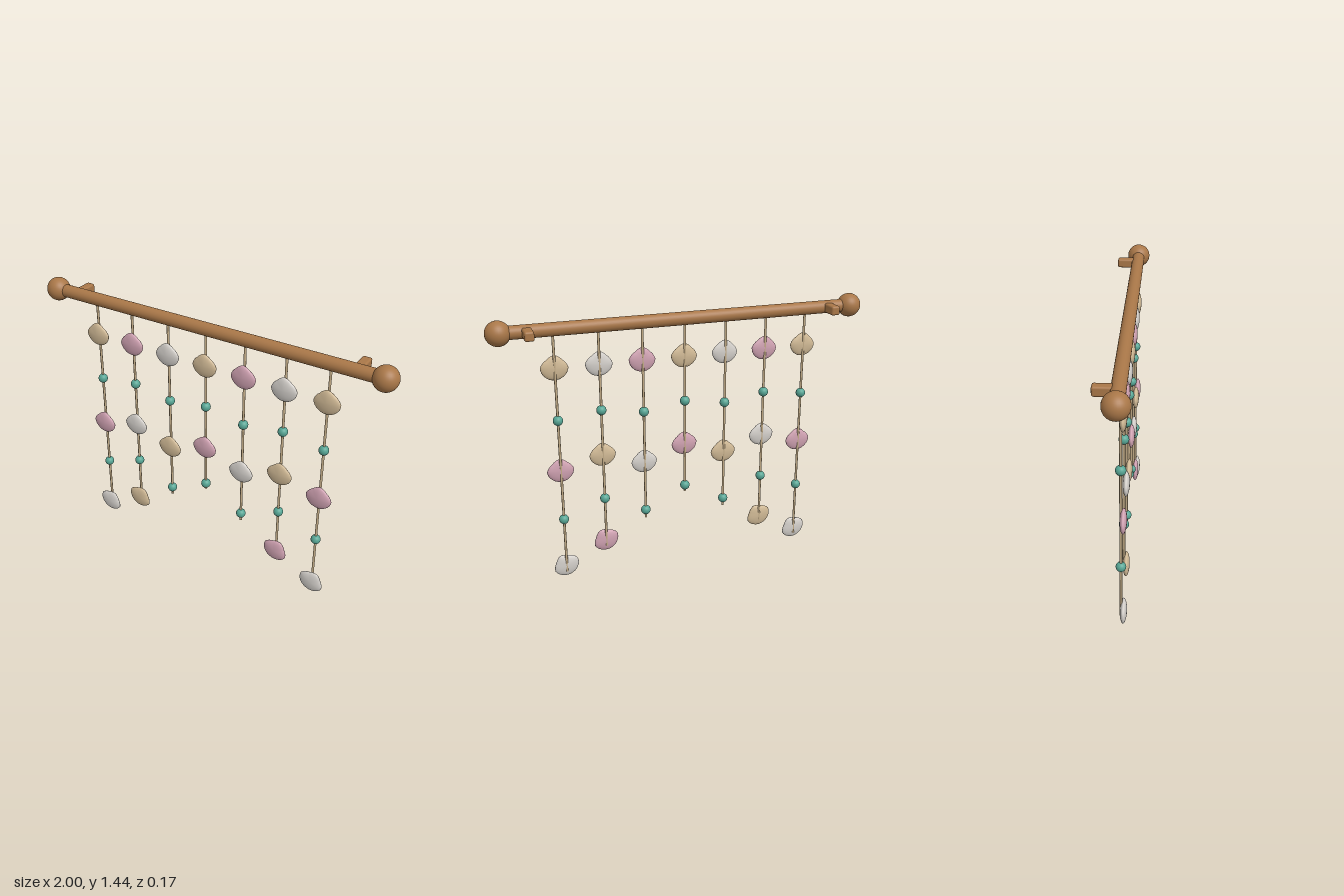
import * as THREE from 'three';
import { mergeVertices } from 'three/addons/utils/BufferGeometryUtils.js';
import { RoundedBoxGeometry } from 'three/addons/geometries/RoundedBoxGeometry.js';

const mat = (name, color) => new THREE.MeshStandardMaterial({ name, color });

// Flat scallop: a sphere whose outline is reshaped by polar radii every 22.5 degrees
function shellGeometry() {
  const quarterTop = [0.071, 0.063, 0.057, 0.06, 0.065];
  const quarterBottom = [0.071, 0.069, 0.066, 0.065, 0.064];
  const outline = (angle) => {
    const a = Math.asin(Math.abs(Math.sin(angle))) / (Math.PI / 8);
    const table = Math.sin(angle) >= 0 ? quarterTop : quarterBottom;
    const i = Math.min(3, Math.floor(a));
    return THREE.MathUtils.lerp(table[i], table[i + 1], a - i);
  };
  let geo = new THREE.SphereGeometry(1, 32, 14).rotateX(Math.PI / 2);
  const p = geo.attributes.position;
  for (let i = 0; i < p.count; i++) {
    const x = p.getX(i), y = p.getY(i);
    const r = outline(Math.atan2(y, x));
    p.setXYZ(i, x * r, y * r, p.getZ(i) * 0.018);
  }
  geo.deleteAttribute('uv');
  geo.deleteAttribute('normal');
  geo = mergeVertices(geo, 1e-5);
  geo.computeVertexNormals();
  return geo;
}

export function createModel() {
  const model = new THREE.Group();
  model.name = 'shellHanging';
  const wood = mat('wood', 0xa97748);
  const cord = mat('cord', 0xc4ad88);
  const teal = mat('tealBead', 0x56a594);
  const shellMats = [mat('sandShell', 0xd0b995), mat('pinkShell', 0xd0a2b2), mat('whiteShell', 0xd4d0cb)];

  const add = (parent, name, geo, material, x, y, z) => {
    const mesh = new THREE.Mesh(geo, material);
    mesh.name = name;
    mesh.position.set(x, y, z);
    parent.add(mesh);
    return mesh;
  };

  // Wooden rod with end knobs and wall pegs
  const barY = 1.378, barZ = 0.025;
  const rod = new THREE.CylinderGeometry(0.034, 0.034, 1.87, 32).rotateZ(Math.PI / 2);
  add(model, 'rod', rod, wood, 0, barY, barZ);
  const knob = new THREE.SphereGeometry(0.0625, 32, 20);
  const peg = new RoundedBoxGeometry(0.048, 0.048, 0.1, 2, 0.01);
  for (const side of [-1, 1]) {
    add(model, 'knob', knob, wood, side * 0.9375, barY, barZ);
    add(model, 'wallPeg', peg, wood, side * 0.803, barY, -0.0375);
  }

  // Strand layouts from the middle outwards: bead heights, shell heights, cord end
  const layouts = [
    { beads: [0.935, 0.445], shells: [1.18, 0.69], end: 0.41 },
    { beads: [0.9, 0.33], shells: [1.18, 0.615], end: 0.285 },
    { beads: [0.935, 0.435], shells: [1.18, 0.685, 0.182], end: 0.15 },
    { beads: [0.905, 0.347], shells: [1.18, 0.625, 0.065], end: 0.03 },
  ];
  const shellTurns = [0.05, -0.04, -0.5];
  const shell = shellGeometry();
  const bead = new THREE.SphereGeometry(0.026, 20, 14);

  for (let i = 0; i < 7; i++) {
    const { beads, shells, end } = layouts[Math.abs(i - 3)];
    const strand = new THREE.Group();
    strand.name = 'strand';
    strand.position.set((i - 3) * 0.2255, 0, 0);
    model.add(strand);

    const length = barY - end;
    const cordGeo = new THREE.CylinderGeometry(0.007, 0.007, length, 8);
    add(strand, 'cord', cordGeo, cord, 0, end + length / 2, barZ);
    beads.forEach((y) => add(strand, 'bead', bead, teal, 0, y, barZ));
    // Shell colours step along each row and shift by one per row
    shells.forEach((y, row) => {
      const s = add(strand, 'shell', shell, shellMats[(i + row) % 3], 0, y, 0.037);
      s.rotation.z = shellTurns[row];
    });
  }
  return model;
}
